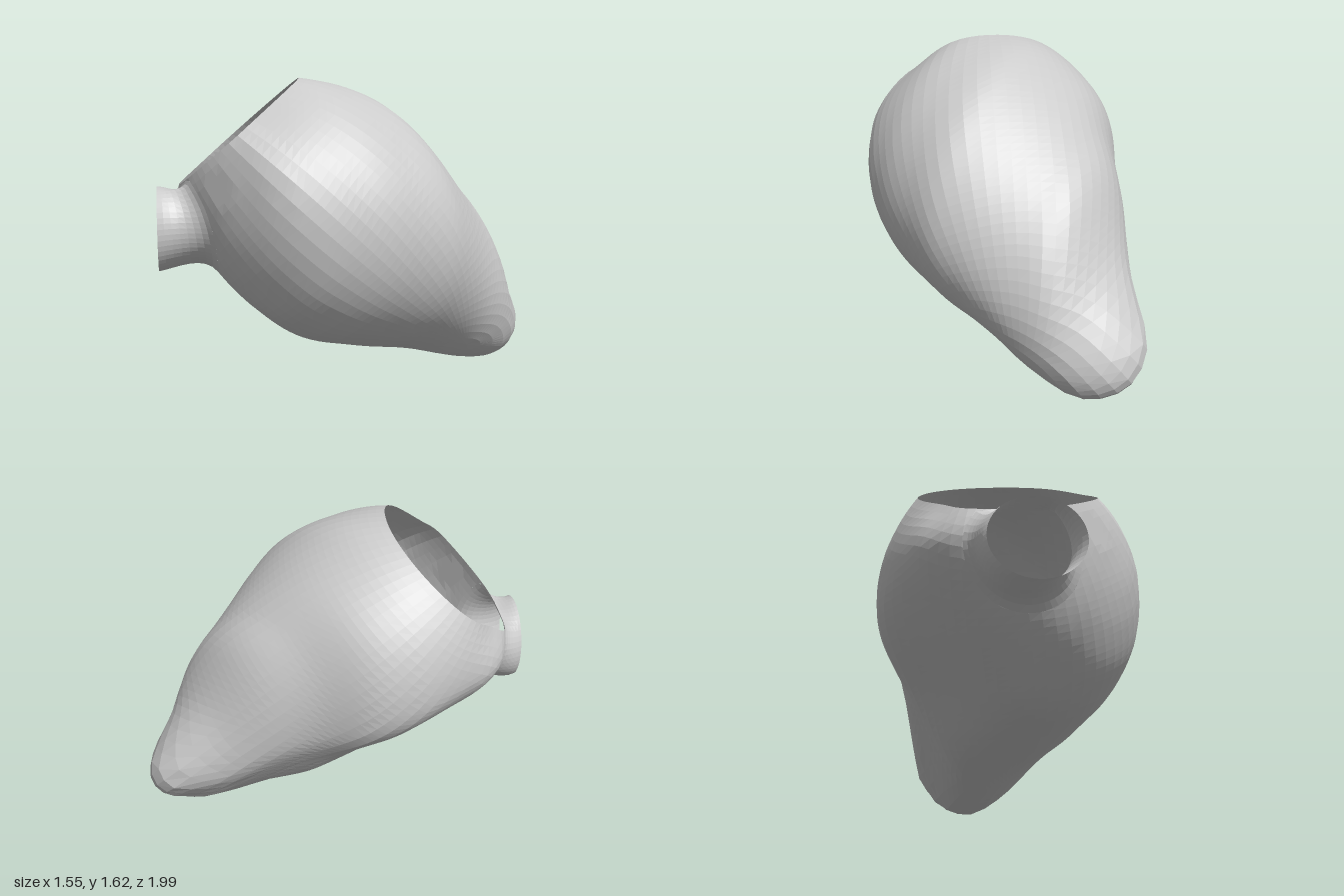
import * as THREE from 'three';

const V = (x, y, z) => new THREE.Vector3(x, y, z);

// Cross-sections of the chamber along z: z, left x, right x, bottom y, top y
const SECTIONS = [
  [-1.0, 0.38, 0.46, 0.21, 0.29], [-0.985, 0.33, 0.51, 0.16, 0.34], [-0.95, 0.27, 0.56, 0.11, 0.39],
  [-0.9, 0.22, 0.61, 0.07, 0.46], [-0.75, 0.06, 0.68, 0.005, 0.68], [-0.6, -0.13, 0.72, 0.015, 1.03],
  [-0.45, -0.32, 0.74, 0.055, 1.21], [-0.3, -0.56, 0.755, 0.1, 1.37], [-0.15, -0.675, 0.77, 0.135, 1.49],
  [0, -0.73, 0.775, 0.165, 1.58], [0.2, -0.77, 0.72, 0.215, 1.625], [0.37, -0.79, 0.66, 0.26, 1.63],
  [0.5, -0.75, 0.59, 0.325, 1.59], [0.62, -0.64, 0.51, 0.43, 1.52], [0.7, -0.54, 0.43, 0.56, 1.46],
  [0.76, -0.44, 0.34, 0.7, 1.41], [0.8, -0.32, 0.22, 0.85, 1.33], [0.82, -0.18, 0.06, 0.98, 1.2],
];
const Z_MIN = SECTIONS[0][0], Z_MAX = SECTIONS.at(-1)[0];
const section = new THREE.CubicInterpolant(
  SECTIONS.map((s) => s[0]), SECTIONS.flatMap((s) => s.slice(1)), 4);

// Shallow dents, by the large opening, below the neck and in the lower flank: centre, radius, depth
const DENTS = [
  [V(0.06, 1.38, 0.7), 0.25, 0.16],
  [V(-0.75, 1.17, 0.42), 0.17, 0.2],
  [V(-0.5, 1.1, 0.72), 0.2, 0.12],
  [V(-0.17, 0.43, 0.57), 0.26, 0.22],
  [V(-0.3, 0.4, -0.2), 0.28, 0.15],
];

// Below 1 inside the chamber, above 1 outside; the lower right flank is pulled in
function field(p) {
  if (p.z <= Z_MIN || p.z >= Z_MAX) return 9;
  const [x0, x1, y0, y1] = section.evaluate(p.z);
  const u = (2 * p.x - x0 - x1) / (x1 - x0), v = (2 * p.y - y0 - y1) / (y1 - y0);
  const tilt = 0.55 - 0.27 * THREE.MathUtils.smoothstep(p.z, -0.5, 0);
  let f = (u * u + v * v + tilt * u * v) / (1 - tilt * tilt / 4);
  f += 2.4 * (Math.min(u, 0) * Math.min(v, 0)) ** 2;
  for (const [c, r, depth] of DENTS) f += depth * Math.exp(-p.distanceToSquared(c) / (r * r));
  return f;
}

// Point where a ray from inside leaves the chamber
function hit(origin, dir) {
  let lo = 0, hi = 2;
  for (let i = 0; i < 26; i++) {
    const mid = (lo + hi) / 2;
    if (field(origin.clone().addScaledVector(dir, mid)) < 1) lo = mid; else hi = mid;
  }
  return origin.clone().addScaledVector(dir, lo);
}

// Mesh from closed rings of points, skipping triangles whose corners are all in the set
function ringMesh(name, rings, skipped = new Set()) {
  const n = rings[0].length, pts = rings.flat(), index = [];
  const tri = (...t) => { if (!t.every((i) => skipped.has(pts[i]))) index.push(...t); };
  for (let i = 0; i < rings.length - 1; i++) {
    for (let j = 0; j < n; j++) {
      const a = i * n + j, b = i * n + (j + 1) % n;
      tri(a, a + n, b);
      tri(b, a + n, b + n);
    }
  }
  const g = new THREE.BufferGeometry().setFromPoints(pts);
  g.setIndex(index);
  g.computeVertexNormals();
  const mesh = new THREE.Mesh(g, new THREE.MeshStandardMaterial({
    color: 0xcccccc, flatShading: true, side: THREE.DoubleSide,
  }));
  mesh.name = name;
  return mesh;
}

export function createModel() {
  const group = new THREE.Group();
  group.name = 'hollowChamber';
  const core = V(0, 0.85, 0.1);

  // Plane of the large opening
  const mouthNormal = V(-0.45, 0.75, 0.48).normalize();
  const mouth = V(-0.4, 1.31, 0.43);
  const height = (p) => mouthNormal.dot(p.clone().sub(mouth));
  const e1 = V(0, 1, 0).cross(mouthNormal).normalize();
  const e2 = mouthNormal.clone().cross(e1);

  // Frame of the small opening
  const neckCentre = V(-0.515, 0.85, 0.845);
  const neckNormal = V(-0.62, 0, 0.79).normalize();
  const across = V(0.79, 0, 0.62).normalize();
  const neckPoint = (angle, s) => neckCentre.clone()
    .addScaledVector(across, 0.235 * s * Math.cos(angle))
    .add(V(0, 0.22 * s * Math.sin(angle), 0));
  const wallPoint = (angle, s) => hit(core, neckPoint(angle, s).sub(core).normalize());
  const neckFoot = (angle) => {
    for (let s = 1.65; ; s -= 0.005) {
      const point = wallPoint(angle, s);
      if (height(point) < -0.003 || s < 0.5) return { s, point };
    }
  };

  // Nearest point of the neck's foot for a wall point under the neck, else null
  const footFor = (p) => {
    const d = p.clone().sub(core);
    const facing = neckNormal.dot(d);
    if (facing <= 0) return null;
    const t = neckNormal.dot(neckCentre.clone().sub(core)) / facing;
    const q = core.clone().addScaledVector(d, t).sub(neckCentre);
    const a = q.dot(across) / 0.235, b = q.y / 0.22;
    const r = Math.hypot(a, b);
    if (r > 1.65) return null;
    const foot = neckFoot(Math.atan2(b, a));
    return r < foot.s ? foot.point : null;
  };

  // Chamber wall: rings from the rim of the large opening round to the far side
  const COLS = 60, ROWS = 44;
  const pole = core.clone().sub(mouth).normalize();
  const rim = Array.from({ length: COLS }, (_, j) => {
    const a = (j / COLS) * Math.PI * 2;
    return hit(mouth, e1.clone().multiplyScalar(Math.cos(a)).addScaledVector(e2, Math.sin(a)));
  });
  const underNeck = new Set();
  const wall = [rim];
  for (let i = 1; i <= ROWS; i++) {
    wall.push(rim.map((p) => {
      const d = p.clone().sub(core).normalize();
      const axis = d.clone().cross(pole).normalize();
      const point = hit(core, d.clone().applyAxisAngle(axis, d.angleTo(pole) * i / ROWS));
      const foot = footFor(point);
      if (foot) underNeck.add(foot);
      return foot ?? point;
    }));
  }
  group.add(ringMesh('chamberWall', wall, underNeck));

  // Short neck from the small opening, meeting the chamber wall along its slope
  const SIDES = 48, STEPS = 8;
  const neck = Array.from({ length: STEPS + 1 }, () => []);
  for (let j = 0; j < SIDES; j++) {
    const a = (j / SIDES) * Math.PI * 2;
    const top = neckPoint(a, 1), { s, point: foot } = neckFoot(a);
    const reach = top.distanceTo(foot) * 0.4;
    const bend = top.clone().add(V(0, 0, -reach));
    const slope = foot.clone().sub(wallPoint(a, s + 0.1)).normalize();
    const land = foot.clone().addScaledVector(slope, reach);
    const curve = new THREE.CubicBezierCurve3(top, bend, land, foot);
    neck.forEach((ring, i) => ring.push(curve.getPoint(i / STEPS)));
  }
  group.add(ringMesh('neck', neck));

  return group;
}
